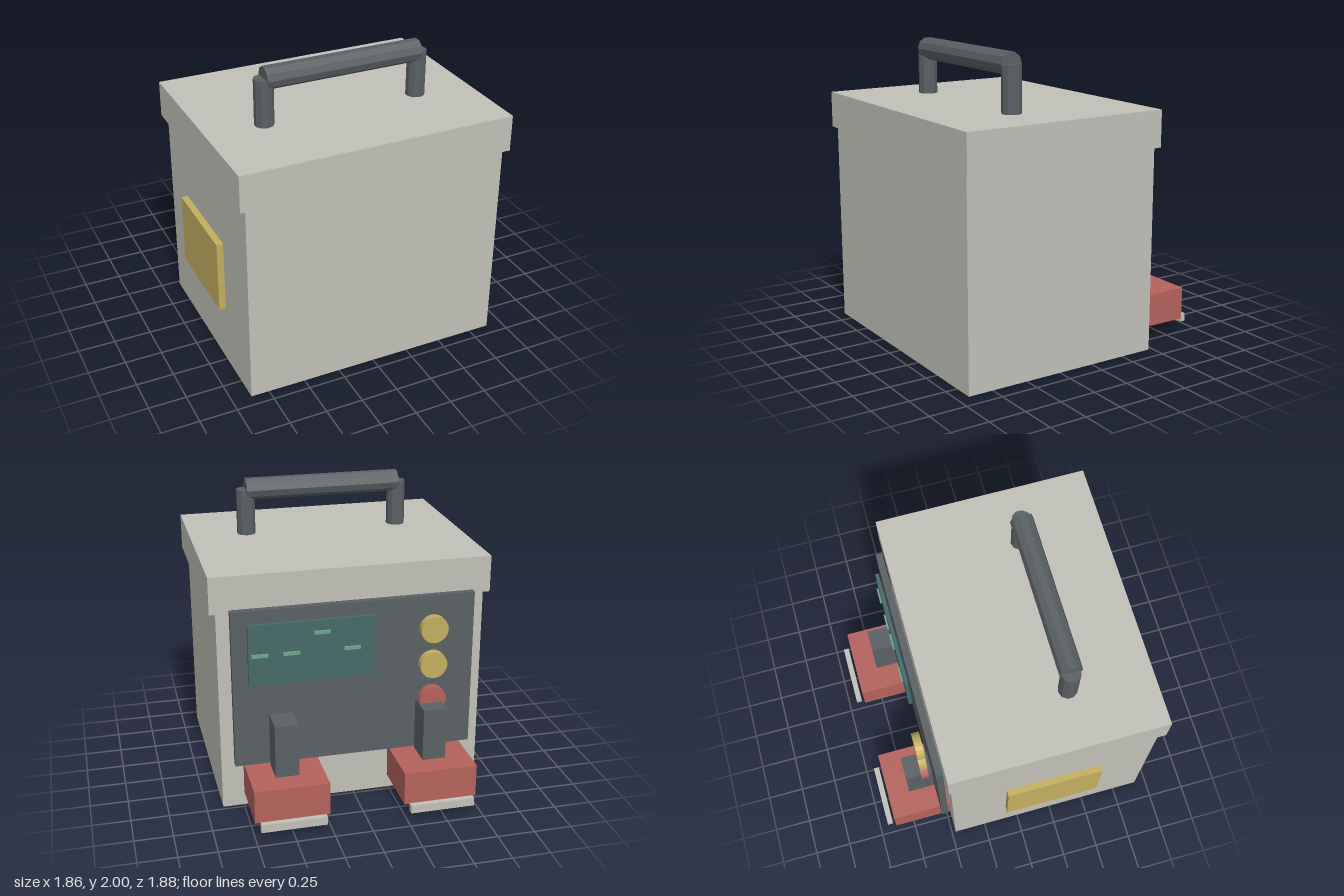
import * as THREE from 'three';

const material = (name, color) => {
  const m = new THREE.MeshStandardMaterial({ color });
  m.name = name;
  return m;
};

export function createModel() {
  const group = new THREE.Group();
  const casing = material('light grey casing', 0xc0c0b8);
  const dark = material('dark grey', 0x5a6064);
  const red = material('red', 0xb4625c);
  const brass = material('brass yellow', 0xc2ae60);
  const teal = material('teal', 0x466a67);
  const mint = material('mint green', 0x6aa58c);

  const add = (name, geometry, mat) => {
    const mesh = new THREE.Mesh(geometry, mat);
    mesh.name = name;
    group.add(mesh);
    return mesh;
  };

  // Box given by its extents on each axis
  const box = (name, mat, [x0, x1], [y0, y1], [z0, z1]) => {
    const mesh = add(name, new THREE.BoxGeometry(x1 - x0, y1 - y0, z1 - z0), mat);
    mesh.position.set((x0 + x1) / 2, (y0 + y1) / 2, (z0 + z1) / 2);
    return mesh;
  };

  // Faceted cylinder with flat sides
  const cylinder = (name, mat, radius, length, sides, x, y, z) => {
    const geometry = new THREE.CylinderGeometry(radius, radius, length, sides).toNonIndexed();
    geometry.computeVertexNormals();
    const mesh = add(name, geometry, mat);
    mesh.position.set(x, y, z);
    return mesh;
  };

  // Casing and overhanging lid
  box('body', casing, [-0.872, 0.89], [0, 1.376], [-0.472, 0.92]);
  box('lid', casing, [-0.912, 0.931], [1.376, 1.62], [-0.491, 0.941]);

  // Carrying handle
  for (const x of [-0.522, 0.541]) {
    cylinder('handlePost', dark, 0.0635, 0.309, 10, x, 1.7745, 0.387);
  }
  cylinder('handleBar', dark, 0.075, 1.063, 10, 0.0095, 1.929, 0.387).rotation.z = Math.PI / 2;

  // Side plate
  box('sidePlate', brass, [-0.931, -0.887], [0.456, 0.944], [-0.1, 0.556]);

  // Control panel with circuit screen
  box('controlPanel', dark, [-0.79, 0.808], [0.33, 1.4], [-0.542, -0.496]);
  box('screen', teal, [-0.115, 0.708], [0.905, 1.315], [-0.578, -0.553]);
  for (const [x, y] of [[0.635, 1.11], [0.432, 1.11], [0.232, 1.235], [0.037, 1.11]]) {
    box('screenTrace', mint, [x - 0.054, x + 0.054], [y - 0.011, y + 0.011], [-0.591, -0.577]);
  }

  // Knobs
  for (const [y, mat] of [[1.191, brass], [0.944, brass], [0.698, red]]) {
    cylinder('knob', mat, 0.091, 0.052, 20, -0.502, y, -0.595).rotation.x = Math.PI / 2;
  }

  // Paired outlet blocks, each with a post and a front strip
  for (const x of [-0.485, 0.5]) {
    box('outletBlock', red, [x - 0.245, x + 0.245], [0.094, 0.318], [-0.882, -0.472]);
    box('outletPost', dark, [x - 0.078, x + 0.078], [0.318, 0.679], [-0.728, -0.542]);
    box('outletStrip', casing, [x - 0.215, x + 0.215], [0.056, 0.111], [-0.941, -0.903]);
  }

  return group;
}
